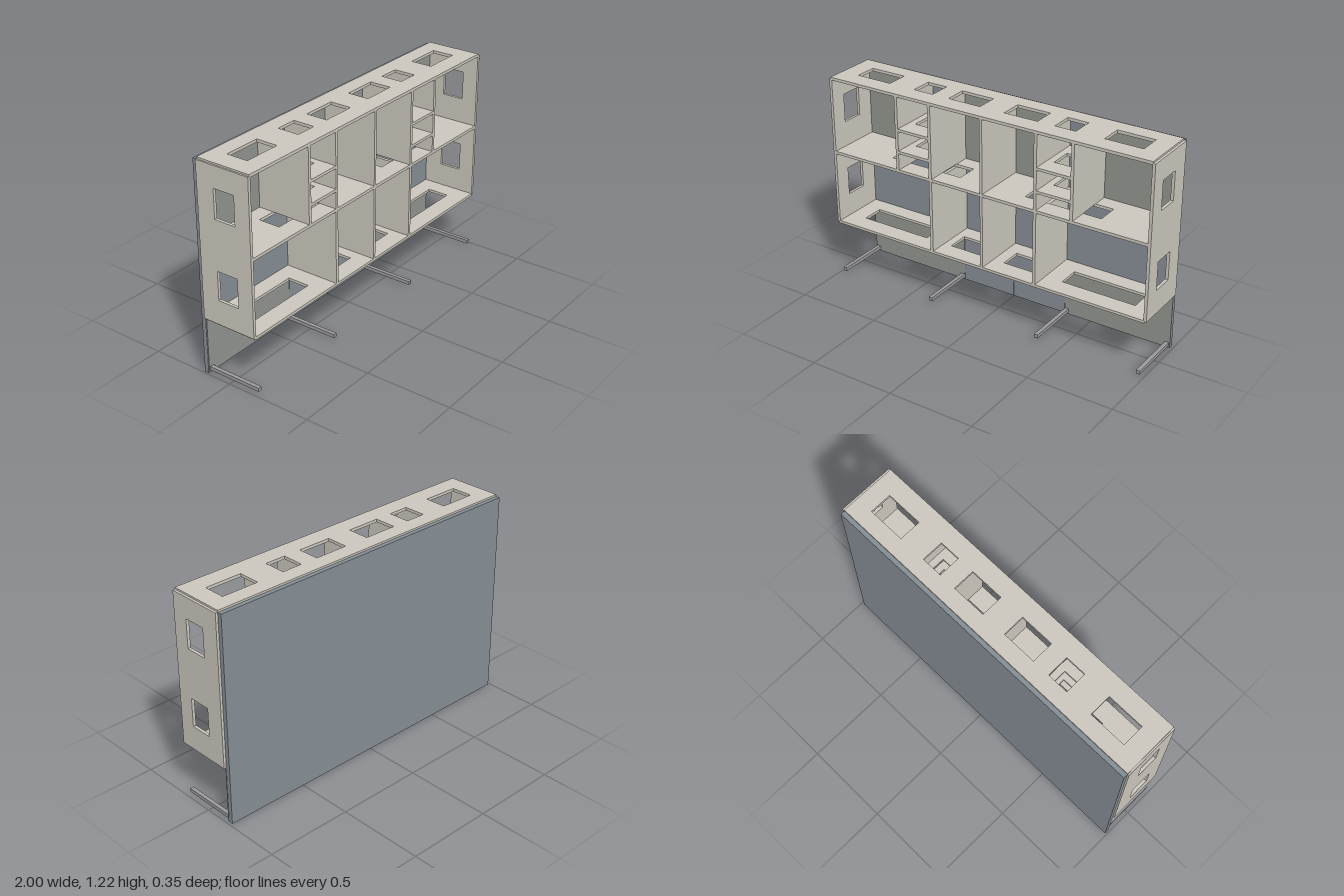
import * as THREE from 'three';

const wood = new THREE.MeshStandardMaterial({ color: 0xcbc7bd });
const slate = new THREE.MeshStandardMaterial({ color: 0x858d94 });
const sage = new THREE.MeshStandardMaterial({ color: 0x90938e });
const steel = new THREE.MeshStandardMaterial({ color: 0x9a9a9a });

const FRONT = 0.176, BACK = -0.151;   // depth of the shelf body
const HOLE_Z = [-0.058, 0.07];        // depth range of every cut-out

export function createModel() {
  const group = new THREE.Group();

  const add = (name, geometry, material) => {
    const mesh = new THREE.Mesh(geometry, material);
    mesh.name = name;
    group.add(mesh);
    return mesh;
  };
  const box = (name, x0, x1, y0, y1, z0, z1, material) => {
    const mesh = add(name, new THREE.BoxGeometry(x1 - x0, y1 - y0, z1 - z0), material);
    mesh.position.set((x0 + x1) / 2, (y0 + y1) / 2, (z0 + z1) / 2);
    return mesh;
  };
  // Board drawn along u with its depth as v, and rectangular holes [u0, u1]
  const boardGeometry = (u0, u1, holes, thickness) => {
    const trace = (path, a, b, c, d) =>
      path.moveTo(a, c).lineTo(b, c).lineTo(b, d).lineTo(a, d).closePath();
    const shape = trace(new THREE.Shape(), u0, u1, -FRONT, -BACK);
    for (const [a, b] of holes) {
      shape.holes.push(trace(new THREE.Path(), a, b, -HOLE_Z[1], -HOLE_Z[0]));
    }
    return new THREE.ExtrudeGeometry(shape, { depth: thickness, bevelEnabled: false });
  };
  const shelf = (name, x0, x1, y0, y1, holes) => {
    const geometry = boardGeometry(x0, x1, holes, y1 - y0);
    geometry.rotateX(-Math.PI / 2).translate(0, y0, 0);
    add(name, geometry, wood);
  };
  const mirrored = (holes) => holes.flatMap(([a, b]) => [[a, b], [-b, -a]]);

  // Horizontal boards
  const topHoles = mirrored([[0.075, 0.275], [0.378, 0.5], [0.663, 0.88]]);
  shelf('topBoard', -0.99, 0.985, 1.204, 1.221, topHoles);
  shelf('middleBoard', -0.982, 0.982, 0.762, 0.779, mirrored([[0.207, 0.663]]));
  shelf('bottomBoard', -0.99, 0.985, 0.325, 0.341, mirrored([[0.075, 0.275], [0.443, 0.88]]));

  for (const s of [-1, 1]) {
    // Outer side with two openings
    const side = boardGeometry(0.334, 1.211, [[0.475, 0.64], [0.925, 1.09]], 0.017);
    side.rotateZ(Math.PI / 2).rotateY(Math.PI / 2);
    side.computeBoundingBox();
    const b = side.boundingBox;
    // put the board upright, front edge towards +z
    side.translate(s * 0.9905 - (b.min.x + b.max.x) / 2,
      0.7725 - (b.min.y + b.max.y) / 2, (FRONT + BACK) / 2 - (b.min.z + b.max.z) / 2);
    add(s > 0 ? 'leftSide' : 'rightSide', side, wood);

    // Dividers of both rows
    for (const x of [0.33, 0.547]) {
      box('upperDivider', s * x - 0.009, s * x + 0.009, 0.779, 1.204, BACK, FRONT, wood);
    }
    box('lowerDivider', s * 0.33 - 0.009, s * 0.33 + 0.009, 0.341, 0.762, BACK, FRONT, wood);

    // Small shelves between the dividers
    const inner = s > 0 ? [0.339, 0.538] : [-0.538, -0.339];
    const cut = s > 0 ? [0.378, 0.5] : [-0.5, -0.378];
    for (const y of [0.875, 1.005]) shelf('smallShelf', ...inner, y, y + 0.016, [cut]);

    // Thin backing sheets
    const sheet = (name, a, c, y0, y1, material) =>
      box(name, Math.min(s * a, s * c), Math.max(s * a, s * c), y0, y1, BACK, BACK + 0.004, material);
    sheet('outerBacking', 0.556, 0.982, 0.779, 1.204, sage);
    sheet('innerBacking', 0.009, 0.321, 0.779, 1.204, sage);
    sheet('outerSkirt', 0.338, 0.987, 0.006, 0.325, sage);
    sheet('innerSkirt', 0.001, 0.336, 0.006, 0.325, slate);

    // Floor bars
    for (const x of [0.968, 0.35]) {
      box('floorBar', s * x - 0.011, s * x + 0.011, 0.014, 0.035, BACK, FRONT, steel);
    }
  }
  box('upperCentreDivider', -0.009, 0.007, 0.779, 1.204, BACK, FRONT, wood);
  box('lowerCentreDivider', -0.009, 0.007, 0.341, 0.762, BACK, FRONT, wood);

  // Full-height back panel
  box('backPanel', -0.99, 0.985, 0, 1.21, -0.176, BACK, slate);
  return group;
}
